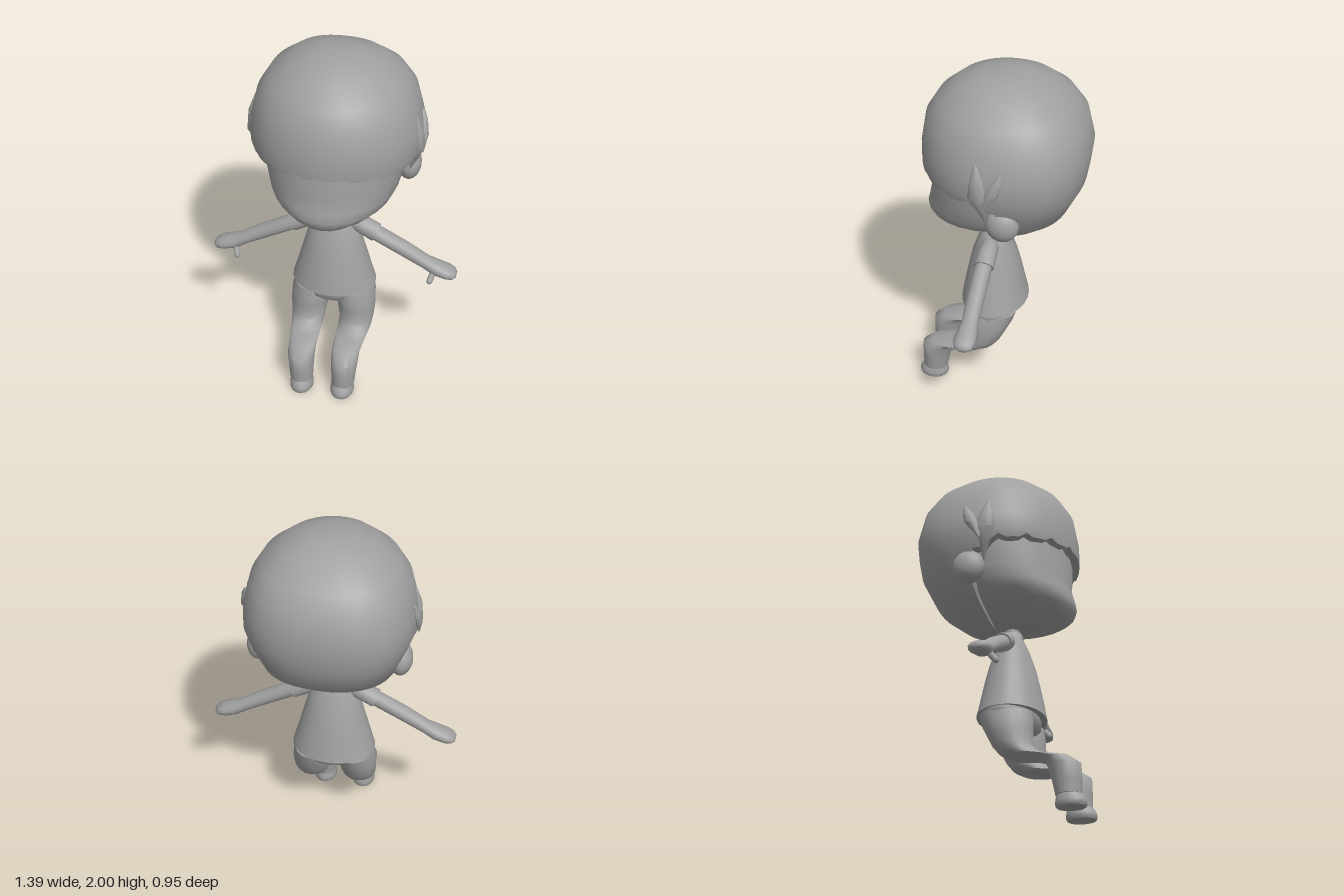
import * as THREE from 'three';
import { toCreasedNormals } from 'three/addons/utils/BufferGeometryUtils.js';

const grey = new THREE.MeshStandardMaterial({ color: 0xa0a0a0 });
grey.name = 'plain grey';

// Skin rows of equal-length closed loops; m = -1 mirrors across x
function skin(rows, m = 1, crease = 0.8) {
  const n = rows[0].length, pos = [], idx = [];
  const tri = (a, b, c) => (m > 0 ? idx.push(a, b, c) : idx.push(a, c, b));
  rows.forEach(r => r.forEach(p => pos.push(p[0] * m, p[1], p[2])));
  for (let i = 0; i < rows.length - 1; i++) {
    for (let j = 0; j < n; j++) {
      const k = (j + 1) % n, a = i * n, b = a + n;
      tri(a + j, b + j, b + k);
      tri(a + j, b + k, a + k);
    }
  }
  // end caps
  [0, rows.length - 1].forEach((ri, e) => {
    const c = [0, 1, 2].map(q => rows[ri].reduce((s, p) => s + p[q], 0) / n);
    const ci = pos.length / 3;
    pos.push(c[0] * m, c[1], c[2]);
    for (let j = 0; j < n; j++) {
      const a = ri * n + j, b = ri * n + (j + 1) % n;
      if (e) tri(ci, b, a); else tri(ci, a, b);
    }
  });
  const g = new THREE.BufferGeometry();
  g.setAttribute('position', new THREE.Float32BufferAttribute(pos, 3));
  g.setIndex(idx);
  return toCreasedNormals(g, crease);
}

// Loop through a front point and a back point: [xCentre, xRadius, zFront, yFront, zBack, yBack]
function loop([x, r, zf, yf, zb, yb], n = 20) {
  return Array.from({ length: n }, (_, j) => {
    const t = j / n * Math.PI * 2, c = Math.cos(t);
    return [x + r * Math.sin(t), (yf + yb) / 2 + c * (yf - yb) / 2, (zf + zb) / 2 + c * (zf - zb) / 2];
  });
}
// Level loop: [y, xRadius, zFront, zBack]
const level = ([y, r, zf, zb], x = 0) => loop([x, r, zf, y, zb, y], 24);

// Loops square to a path in the xy plane: [x, y, z, radius, zRadius]
function limb(path, n = 14) {
  return path.map(([x, y, z, r, rz], i) => {
    const a = path[Math.max(0, i - 1)], b = path[Math.min(path.length - 1, i + 1)];
    const l = Math.hypot(b[0] - a[0], b[1] - a[1]), dx = (b[0] - a[0]) / l, dy = (b[1] - a[1]) / l;
    return Array.from({ length: n }, (_, j) => {
      const t = j / n * Math.PI * 2, c = Math.cos(t) * r;
      return [x - dy * c, y + dx * c, z - Math.sin(t) * rz];
    });
  });
}

function hairRows() {
  // y, half width, front z, back z
  const prof = [
    [2, 0.01, -0.01, -0.03], [1.99, 0.13, 0.12, -0.13], [1.94, 0.25, 0.24, -0.26],
    [1.85, 0.36, 0.345, -0.37], [1.75, 0.42, 0.405, -0.44], [1.6, 0.457, 0.43, -0.473],
    [1.49, 0.46, 0.43, -0.46], [1.4, 0.43, 0.42, -0.445], [1.25, 0.37, 0.39, -0.37],
    [1.16, 0.27, 0.3, -0.26], [1.09, 0.12, 0.15, -0.12], [1.075, 0.01, 0, -0.04]];
  const at = y => {
    for (let i = 1; i < prof.length; i++) {
      if (y >= prof[i][0]) {
        const t = (prof[i - 1][0] - y) / (prof[i - 1][0] - prof[i][0]);
        return prof[i].map((v, k) => prof[i - 1][k] * (1 - t) + v * t);
      }
    }
    return prof[prof.length - 1];
  };
  const N = 72, rows = [];
  // lower hairline: fringe in front, above the ears at the side, nape behind
  const edge = j => {
    const s = Math.min(j, N - j), a = s / N * 360;
    if (a < 82) return 1.49 - 0.05 * (a / 82) + (s % 4 === 3 ? 0.02 : 0);
    return a < 96 ? 1.4 : 1.075;
  };
  const point = (j, y, f) => {
    const [, w, zf, zb] = at(y), t = j / N * Math.PI * 2, c = Math.cos(t), s = Math.sin(t), zc = -0.02;
    const bulge = c < 0 ? 1 + 0.06 * Math.sin(2 * t) ** 2 : 1;
    return [w * s * bulge * f, y, zc + c * bulge * f * (c > 0 ? zf - zc : zc - zb)];
  };
  for (const [y] of prof) rows.push(Array.from({ length: N }, (_, j) => point(j, Math.max(y, edge(j)), 1)));
  rows.push(Array.from({ length: N }, (_, j) => point(j, edge(j), 0.85))); // underside rim
  return rows;
}

export function createModel() {
  const model = new THREE.Group();
  model.name = 'figure';
  const add = (name, geometry) => {
    const mesh = new THREE.Mesh(geometry, grey);
    mesh.name = name;
    model.add(mesh);
    return mesh;
  };

  // Head
  add('hair', skin(hairRows(), 1, 0.7));
  add('face', skin([
    [1.6, 0.38, 0.36, -0.3], [1.47, 0.388, 0.39, -0.35], [1.32, 0.367, 0.385, -0.33],
    [1.25, 0.347, 0.4, -0.3], [1.2, 0.315, 0.413, -0.26], [1.16, 0.26, 0.405, -0.2],
    [1.12, 0.19, 0.37, -0.15], [1.095, 0.12, 0.32, -0.1], [1.08, 0.06, 0.18, -0.06]
  ].map(r => level(r)), 1, 1));

  // Neck, shirt and hips
  add('neck', skin([[1.12, 0.04, 0.09, 0.01], [1.02, 0.042, 0.095, 0.005]].map(r => level(r))));
  add('collar', skin([[1.06, 0.05, 0.105, -0.005], [1.025, 0.066, 0.115, -0.015]].map(r => level(r))));
  add('shirt', skin([
    [1.04, 0.06, 0.1, 0], [1.02, 0.095, 0.115, -0.015], [0.95, 0.13, 0.145, -0.04],
    [0.85, 0.158, 0.178, -0.075], [0.75, 0.185, 0.2, -0.1], [0.65, 0.212, 0.22, -0.12],
    [0.557, 0.238, 0.235, -0.14]
  ].map(r => level(r))));
  add('hips', skin([
    [0.6, 0.215, 0.195, -0.115], [0.55, 0.232, 0.2, -0.12],
    [0.5, 0.22, 0.195, -0.085], [0.47, 0.14, 0.17, -0.05]
  ].map(r => level(r)), 1, 1));

  for (const m of [1, -1]) {
    const side = m > 0 ? 'left' : 'right';
    const part = (name, rows, crease) => add(side + name, skin(rows, m, crease));

    // Ear
    const ear = add(side + 'Ear', new THREE.SphereGeometry(1, 16, 12));
    ear.scale.set(0.065, 0.095, 0.09);
    ear.position.set(0.385 * m, 1.31, -0.085);

    // Side locks: pointed tufts running down to a tip
    part('FrontLock', [
      [0.43, 0.01, 0.05, 1.68, 0.03, 1.68], [0.445, 0.025, 0.07, 1.6, -0.01, 1.6],
      [0.45, 0.03, 0.08, 1.5, -0.03, 1.5], [0.428, 0.02, 0.04, 1.42, -0.01, 1.41],
      [0.4, 0.003, 0.01, 1.33, 0, 1.33]].map(r => loop(r, 8)));
    part('BackLock', [
      [0.445, 0.01, -0.08, 1.65, -0.1, 1.65], [0.455, 0.02, -0.04, 1.6, -0.1, 1.6],
      [0.462, 0.024, -0.005, 1.52, -0.085, 1.54], [0.465, 0.003, 0, 1.44, -0.01, 1.44]].map(r => loop(r, 8)));

    // Arm, sleeve and hand
    part('Sleeve', limb([
      [0.07, 0.97, 0.05, 0.03, 0.035], [0.11, 0.97, 0.05, 0.046, 0.048],
      [0.16, 0.95, 0.052, 0.052, 0.054], [0.235, 0.91, 0.055, 0.053, 0.056]]));
    part('Arm', limb([
      [0.2, 0.928, 0.055, 0.043, 0.047], [0.4, 0.822, 0.057, 0.043, 0.047],
      [0.52, 0.752, 0.057, 0.037, 0.045], [0.58, 0.722, 0.057, 0.042, 0.055],
      [0.64, 0.704, 0.057, 0.036, 0.06], [0.675, 0.694, 0.057, 0.027, 0.05],
      [0.692, 0.69, 0.057, 0.013, 0.025]]), 1.2);
    const thumb = add(side + 'Thumb', new THREE.CapsuleGeometry(0.017, 0.055, 4, 8));
    thumb.position.set(0.558 * m, 0.685, 0.1);
    thumb.quaternion.setFromUnitVectors(
      new THREE.Vector3(0, 1, 0), new THREE.Vector3(0.25 * m, 0.75, -0.6).normalize());

    // Bent trouser leg, running forward at the knee
    part('Leg', [
      [0.125, 0.1, 0.19, 0.54, -0.1, 0.54], [0.127, 0.113, 0.2, 0.48, -0.08, 0.48],
      [0.135, 0.108, 0.2, 0.42, -0.05, 0.42], [0.138, 0.1, 0.2, 0.345, -0.02, 0.36],
      [0.138, 0.095, 0.215, 0.325, 0.02, 0.31], [0.136, 0.09, 0.25, 0.295, 0.07, 0.285],
      [0.13, 0.084, 0.29, 0.286, 0.2, 0.272], [0.125, 0.078, 0.39, 0.272, 0.262, 0.25],
      [0.125, 0.077, 0.45, 0.23, 0.275, 0.22], [0.122, 0.07, 0.452, 0.14, 0.295, 0.14],
      [0.12, 0.065, 0.45, 0.065, 0.31, 0.065]].map(r => loop(r, 16)), 1);

    // Foot
    part('Foot', [
      [0.08, 0.054, 0.44, 0.32], [0.055, 0.06, 0.46, 0.312], [0.03, 0.066, 0.474, 0.308],
      [0.01, 0.066, 0.474, 0.308], [0, 0.06, 0.468, 0.314]].map(r => level(r, 0.118)));
  }
  return model;
}
